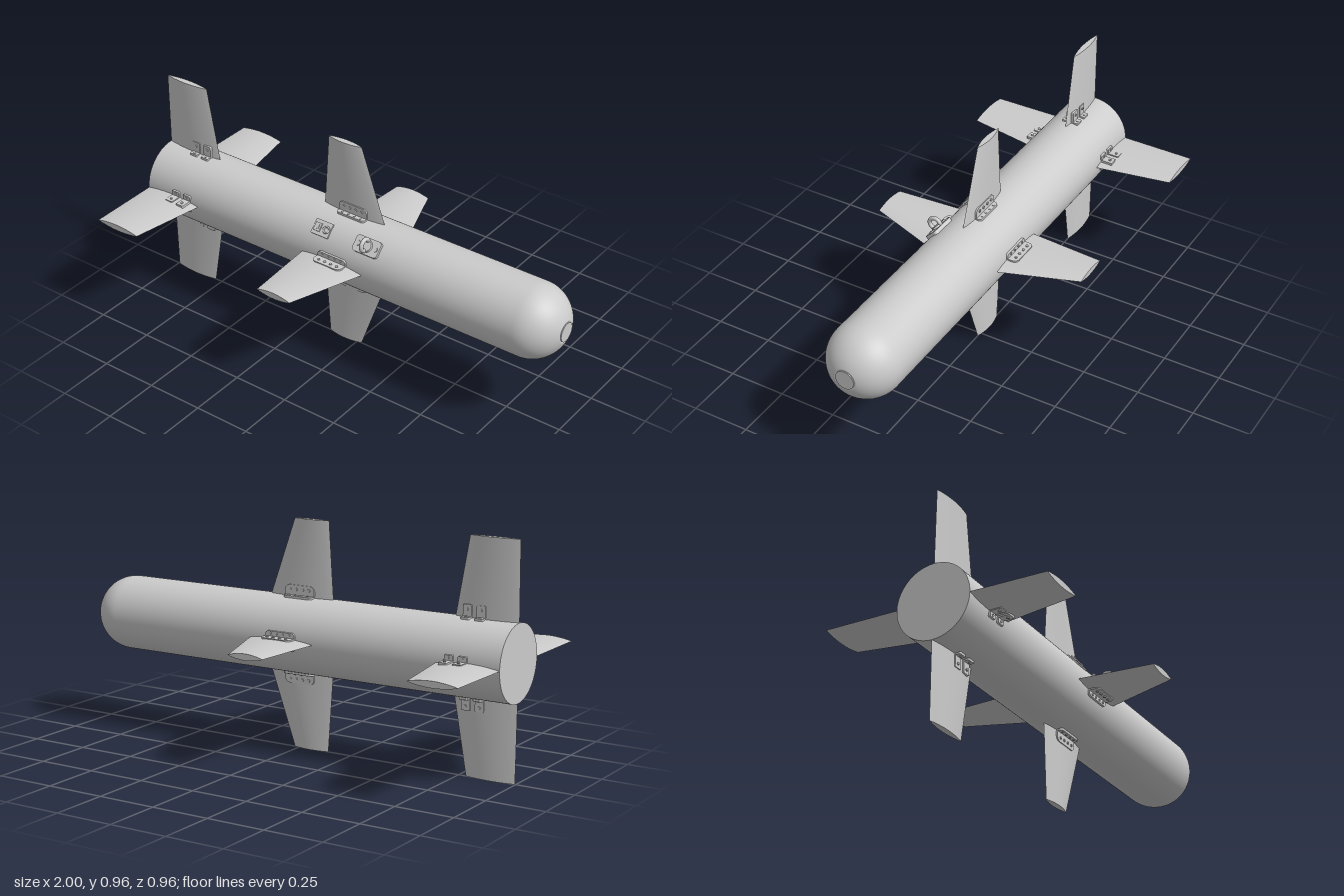
import * as THREE from 'three';

const R = 0.159, SPAN = 0.481;
const material = new THREE.MeshStandardMaterial({ color: 0xcccccc });

function add(parent, name, geometry, x = 0, y = 0, z = 0) {
  const mesh = new THREE.Mesh(geometry, material);
  mesh.name = name;
  mesh.position.set(x, y, z);
  parent.add(mesh);
  return mesh;
}

// Rounded rectangle in the xy plane, extruded along z
function roundedPlate(w, h, r, depth) {
  const s = new THREE.Shape(), a = w / 2, b = h / 2;
  s.moveTo(-a + r, -b);
  s.lineTo(a - r, -b); s.absarc(a - r, -b + r, r, -Math.PI / 2, 0);
  s.lineTo(a, b - r); s.absarc(a - r, b - r, r, 0, Math.PI / 2);
  s.lineTo(-a + r, b); s.absarc(-a + r, b - r, r, Math.PI / 2, Math.PI);
  s.lineTo(-a, -b + r); s.absarc(-a + r, -b + r, r, Math.PI, Math.PI * 1.5);
  return new THREE.ExtrudeGeometry(s, { depth, bevelEnabled: false, curveSegments: 6 });
}

// The same plate lying flat, thickness rising along y
const flatPlate = (w, d, r, h) => roundedPlate(w, d, r, h).rotateX(-Math.PI / 2);

// Lens-section blade: two curved skins plus a tip cap. root and tip are [trailing x, leading x]
function bladeGeometry(root, tip, half) {
  const N = 16, pos = [], idx = [];
  const y0 = 0.145;
  const point = (t, end, y, side) => {
    const thickness = half * Math.pow(Math.sin(Math.PI * t), 0.8);
    pos.push(THREE.MathUtils.lerp(end[0], end[1], t), y, side * thickness);
  };
  const strip = (p, q, flip) => {
    const base = pos.length / 3;
    for (let i = 0; i <= N; i++) {
      point(i / N, p.end, p.y, p.side);
      point(i / N, q.end, q.y, q.side);
      if (i === N) continue;
      const a = base + 2 * i, b = a + 1, c = a + 2, d = a + 3;
      if (flip) idx.push(a, b, c, c, b, d);
      else idx.push(a, c, b, c, d, b);
    }
  };
  for (const side of [1, -1]) {
    strip({ end: root, y: y0, side }, { end: tip, y: SPAN, side }, side < 0);
  }
  strip({ end: tip, y: SPAN, side: 1 }, { end: tip, y: SPAN, side: -1 }, false);
  const g = new THREE.BufferGeometry();
  g.setAttribute('position', new THREE.Float32BufferAttribute(pos, 3));
  g.setIndex(idx);
  g.computeVertexNormals();
  return g;
}

// Angle bracket on one side of a fin: foot on the hull, web against the blade, bolts
function bracket(x, width, top, radius, boltXs) {
  const g = new THREE.Group();
  g.name = 'finBracket';
  const bottom = 0.148, h = top - bottom;
  add(g, 'bracketWeb', roundedPlate(width, h, radius, 0.016), x, bottom + h / 2, 0.001);
  add(g, 'bracketFoot', flatPlate(width, 0.037, Math.min(radius, 0.015), 0.018), x, 0.146, 0.0195);
  for (const bx of boltXs) {
    add(g, 'webBolt', new THREE.CylinderGeometry(0.006, 0.006, 0.005, 12).rotateX(Math.PI / 2), x + bx, top - 0.018, 0.0185);
    add(g, 'footBolt', new THREE.CylinderGeometry(0.005, 0.005, 0.004, 12), x + bx, 0.165, 0.028);
  }
  return g;
}

function fin(name, root, tip, brackets) {
  const g = new THREE.Group();
  g.name = name;
  add(g, 'blade', bladeGeometry(root, tip, 0.0135));
  for (const [x, w, top, r, bolts] of brackets) {
    const front = bracket(x, w, top, r, bolts);
    const back = bracket(-x, w, top, r, bolts);
    back.rotation.y = Math.PI;
    g.add(front, back);
  }
  return g;
}

export function createModel() {
  const model = new THREE.Group();
  model.name = 'finnedCylinder';
  const craft = new THREE.Group();
  craft.name = 'craft';
  craft.position.y = SPAN + 0.001;
  model.add(craft);

  // Hull with a domed nose, cut flat at the tip
  const domeStart = 0.845, noseRadius = 0.048;
  const endAngle = Math.acos(noseRadius / R);
  const depth = (0.996 - domeStart) / Math.sin(endAngle);
  const profile = [new THREE.Vector2(R, -1), new THREE.Vector2(R, domeStart - 0.02)];
  for (let i = 0; i <= 20; i++) {
    const a = endAngle * i / 20;
    profile.push(new THREE.Vector2(R * Math.cos(a), domeStart + depth * Math.sin(a)));
  }
  add(craft, 'hull', new THREE.LatheGeometry(profile, 72).rotateZ(-Math.PI / 2));
  add(craft, 'rearCap', new THREE.CircleGeometry(R, 72).rotateY(-Math.PI / 2), -1);
  add(craft, 'noseRim', new THREE.CircleGeometry(noseRadius, 40).rotateY(Math.PI / 2), 0.996);
  add(craft, 'noseWindow', new THREE.CylinderGeometry(0.041, 0.041, 0.008, 40).rotateZ(-Math.PI / 2), 0.996);

  // Four wings and four tail fins around the hull
  for (let k = 0; k < 4; k++) {
    const wing = fin('wing', [-0.165, 0.142], [-0.142, 0.022],
      [[-0.011, 0.14, 0.206, 0.022, [-0.045, -0.015, 0.015, 0.045]]]);
    const tail = fin('tailFin', [-1, -0.722], [-0.997, -0.782],
      [[-0.843, 0.038, 0.211, 0.004, [0]], [-0.783, 0.038, 0.211, 0.004, [0]]]);
    wing.rotation.x = tail.rotation.x = k * Math.PI / 2;
    craft.add(wing, tail);
  }

  // Fittings on the upper front quarter of the hull
  const fittings = new THREE.Group();
  fittings.name = 'hullFittings';
  fittings.rotation.x = Math.PI / 4;
  craft.add(fittings);

  // Lifting lug
  add(fittings, 'lugBase', flatPlate(0.12, 0.07, 0.014, 0.025), 0.135, 0.146);
  add(fittings, 'lugBoss', new THREE.CylinderGeometry(0.024, 0.027, 0.01, 24), 0.135, 0.174);
  add(fittings, 'lugRing', new THREE.TorusGeometry(0.025, 0.009, 12, 32).rotateY(Math.PI / 2), 0.135, 0.188);
  for (const s of [-1, 1]) {
    add(fittings, 'lugBolt', new THREE.CylinderGeometry(0.011, 0.011, 0.006, 16), 0.135 + s * 0.042, 0.173);
  }

  // Connector plate with a square and a round socket
  add(fittings, 'connectorPlate', flatPlate(0.085, 0.064, 0.004, 0.016), -0.093, 0.148);
  add(fittings, 'squareSocket', new THREE.BoxGeometry(0.03, 0.008, 0.036), -0.112, 0.166);
  add(fittings, 'squarePin', new THREE.BoxGeometry(0.014, 0.004, 0.018), -0.112, 0.171);
  add(fittings, 'roundSocket', new THREE.TorusGeometry(0.013, 0.004, 8, 24).rotateX(Math.PI / 2), -0.071, 0.165);

  return model;
}
